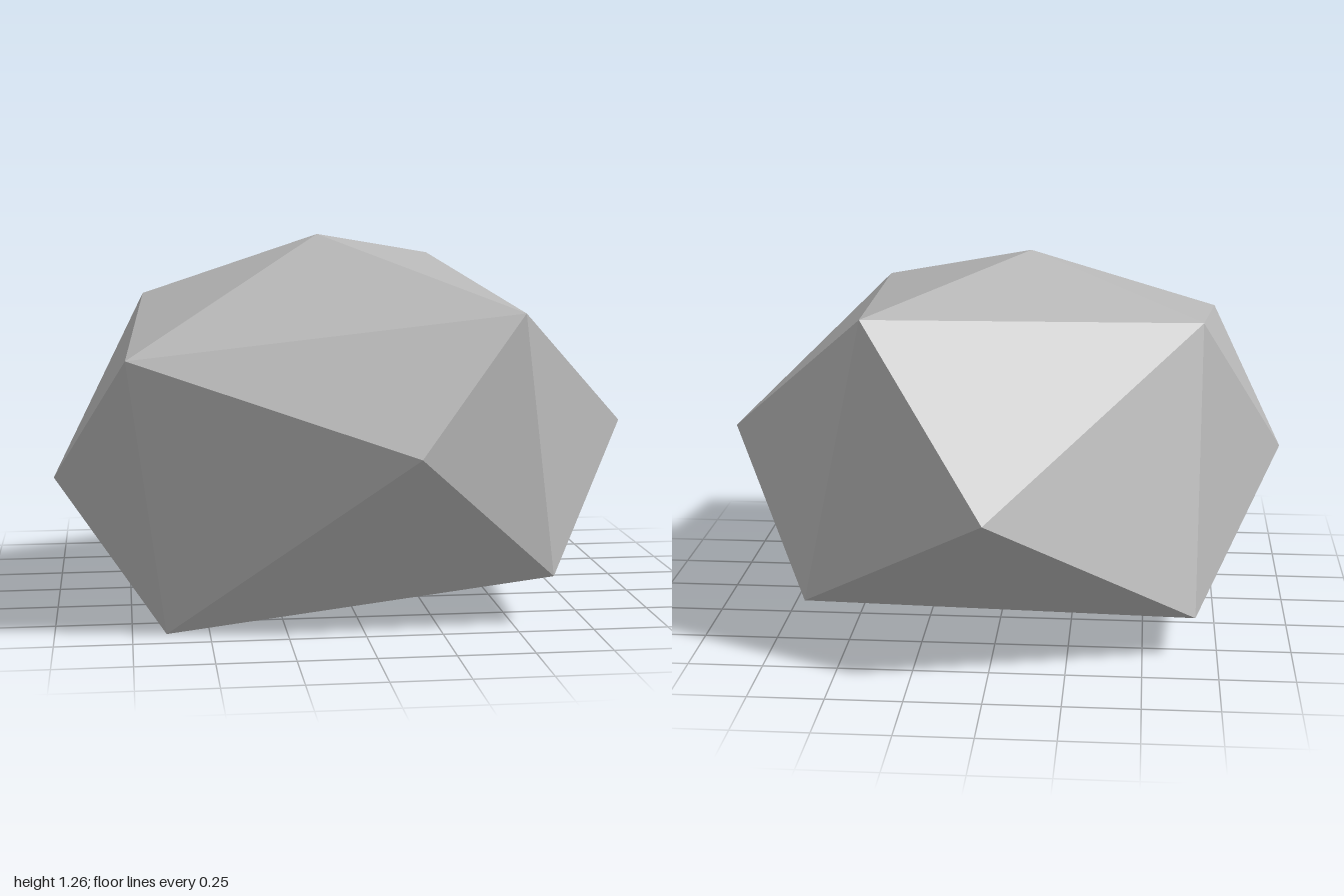
import * as THREE from 'three';

// Corners of a lopsided cube, plus a raised peak over five of its sides
const P = {
  topBackRight: [0.42, 1.15, -0.645], topFrontRight: [0.51, 1.04, 0.75],
  topFrontLeft: [-0.76, 0.915, 0.83], topBackLeft: [-0.69, 1.045, -0.12],
  lowFrontLeft: [-0.64, 0, 0.64], lowFrontRight: [0.63, 0.165, 0.68],
  lowBackRight: [0.64, 0.16, -0.555], lowBackLeft: [-0.675, 0.135, -0.555],
  top: [-0.085, 1.26, 0.06], front: [0.15, 0.605, 0.925], right: [1, 0.59, 0.095],
  back: [0.005, 0.56, -0.925], left: [-1, 0.475, 0.375],
};

// Each side: hub first, then its ring counter-clockwise seen from outside
const sides = [
  ['top', 'topFrontRight', 'topBackRight', 'topBackLeft', 'topFrontLeft'],
  ['right', 'lowFrontRight', 'lowBackRight', 'topBackRight', 'topFrontRight'],
  ['front', 'lowFrontLeft', 'lowFrontRight', 'topFrontRight', 'topFrontLeft'],
  ['left', 'lowBackLeft', 'lowFrontLeft', 'topFrontLeft', 'topBackLeft'],
  ['back', 'lowBackRight', 'lowBackLeft', 'topBackLeft', 'topBackRight'],
];

export function createModel() {
  const group = new THREE.Group();
  group.name = 'boulder';
  const stone = new THREE.MeshStandardMaterial({ color: 0xb6b6b6 });
  stone.name = 'light stone grey';

  const positions = [];
  const triangle = (a, b, c) => positions.push(...P[a], ...P[b], ...P[c]);

  // Faceted pyramids
  for (const [hub, ...ring] of sides) {
    ring.forEach((corner, i) => triangle(hub, corner, ring[(i + 1) % ring.length]));
  }
  // Underside, folded along one diagonal
  triangle('lowFrontLeft', 'lowBackLeft', 'lowBackRight');
  triangle('lowFrontLeft', 'lowBackRight', 'lowFrontRight');

  // Unshared corners give flat facets
  const geometry = new THREE.BufferGeometry();
  geometry.setAttribute('position', new THREE.Float32BufferAttribute(positions, 3));
  geometry.computeVertexNormals();

  const rock = new THREE.Mesh(geometry, stone);
  rock.name = 'rock';
  group.add(rock);
  return group;
}
